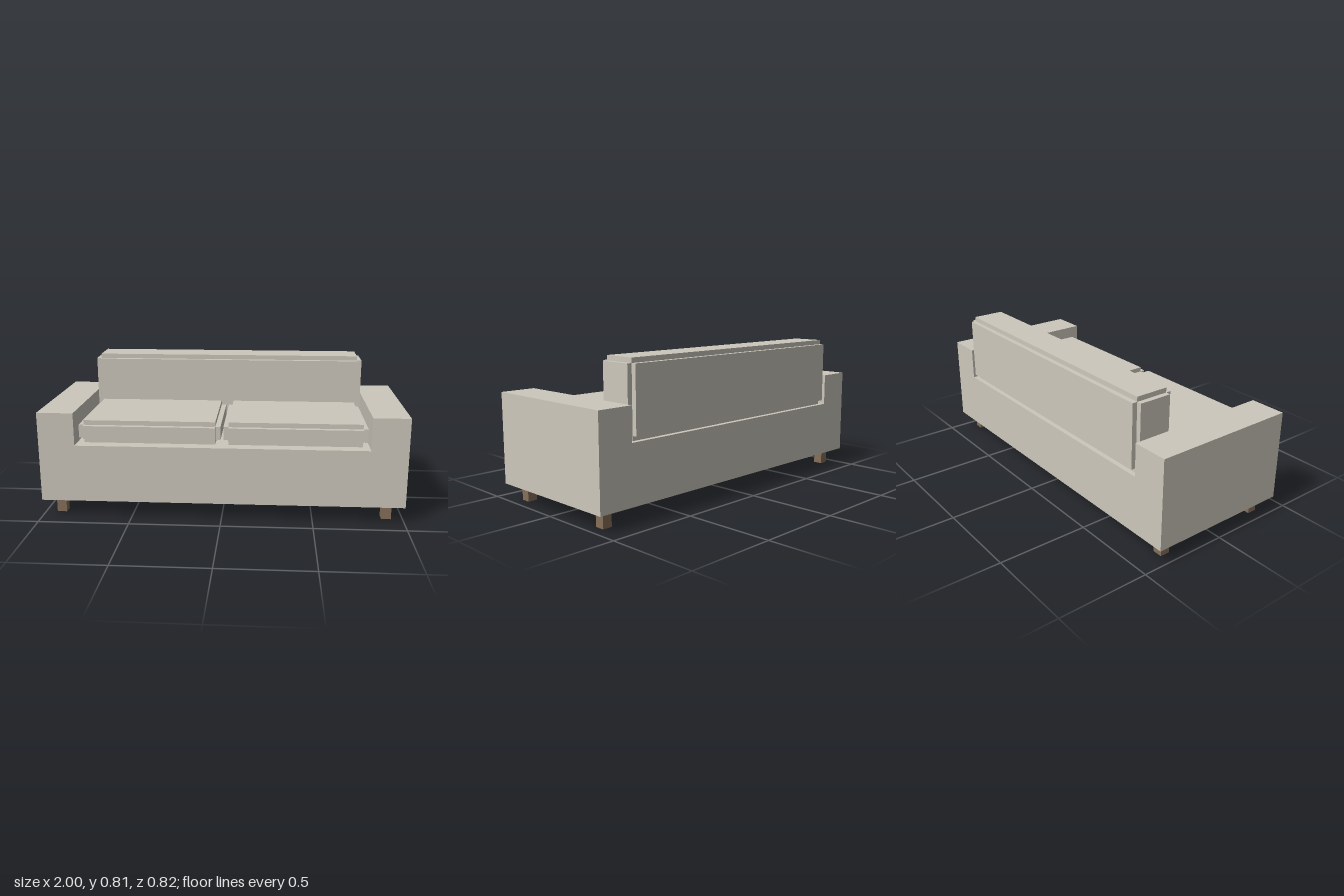
import * as THREE from 'three';

const fabric = new THREE.MeshStandardMaterial({ color: 0xcdc8bc, flatShading: true });
const wood = new THREE.MeshStandardMaterial({ color: 0x86705a, flatShading: true });

// Box given by its lower and upper corners
function box(name, min, max, material) {
  const size = max.map((v, i) => v - min[i]);
  const mesh = new THREE.Mesh(new THREE.BoxGeometry(...size), material);
  mesh.position.set(...max.map((v, i) => (v + min[i]) / 2));
  mesh.name = name;
  return mesh;
}

// Cushion with stepped edges: three crossed boxes, each full-size along one axis only
function cushion(name, min, max, step) {
  const group = new THREE.Group();
  group.name = name;
  ['cushionWidth', 'cushionHeight', 'cushionDepth'].forEach((part, axis) => {
    const lo = min.map((v, i) => (i === axis ? v : v + step[i]));
    const hi = max.map((v, i) => (i === axis ? v : v - step[i]));
    group.add(box(part, lo, hi, fabric));
  });
  return group;
}

export function createModel() {
  const sofa = new THREE.Group();
  sofa.name = 'sofa';

  // Base and both arms: one U-shaped profile, extruded front to back
  const bottom = 0.092, seatY = 0.411, armY = 0.592, inner = 0.8, depth = 0.816;
  const profile = new THREE.Shape([
    [-1, bottom], [1, bottom], [1, armY], [inner, armY],
    [inner, seatY], [-inner, seatY], [-inner, armY], [-1, armY],
  ].map(([x, y]) => new THREE.Vector2(x, y)));
  const frame = new THREE.Mesh(
    new THREE.ExtrudeGeometry(profile, { depth, bevelEnabled: false }), fabric);
  frame.position.z = -depth / 2;
  frame.name = 'baseAndArms';
  sofa.add(frame);

  // Backrest
  sofa.add(cushion('backCushion', [-0.8, seatY, -0.408], [0.8, 0.813, -0.173], [0.027, 0.026, 0.027]));

  // Seat cushions
  const seatStep = [0.028, 0.026, 0.028];
  sofa.add(cushion('rightSeatCushion', [-0.79, seatY, -0.2], [-0.008, 0.537, 0.367], seatStep));
  sofa.add(cushion('leftSeatCushion', [0.008, seatY, -0.2], [0.79, 0.537, 0.367], seatStep));

  // Legs
  for (const x of [-0.909, 0.909]) {
    for (const z of [-0.318, 0.318]) {
      const name = (z > 0 ? 'front' : 'back') + (x > 0 ? 'Left' : 'Right') + 'Leg';
      const r = 0.027;
      sofa.add(box(name, [x - r, 0, z - r], [x + r, bottom, z + r], wood));
    }
  }
  return sofa;
}
